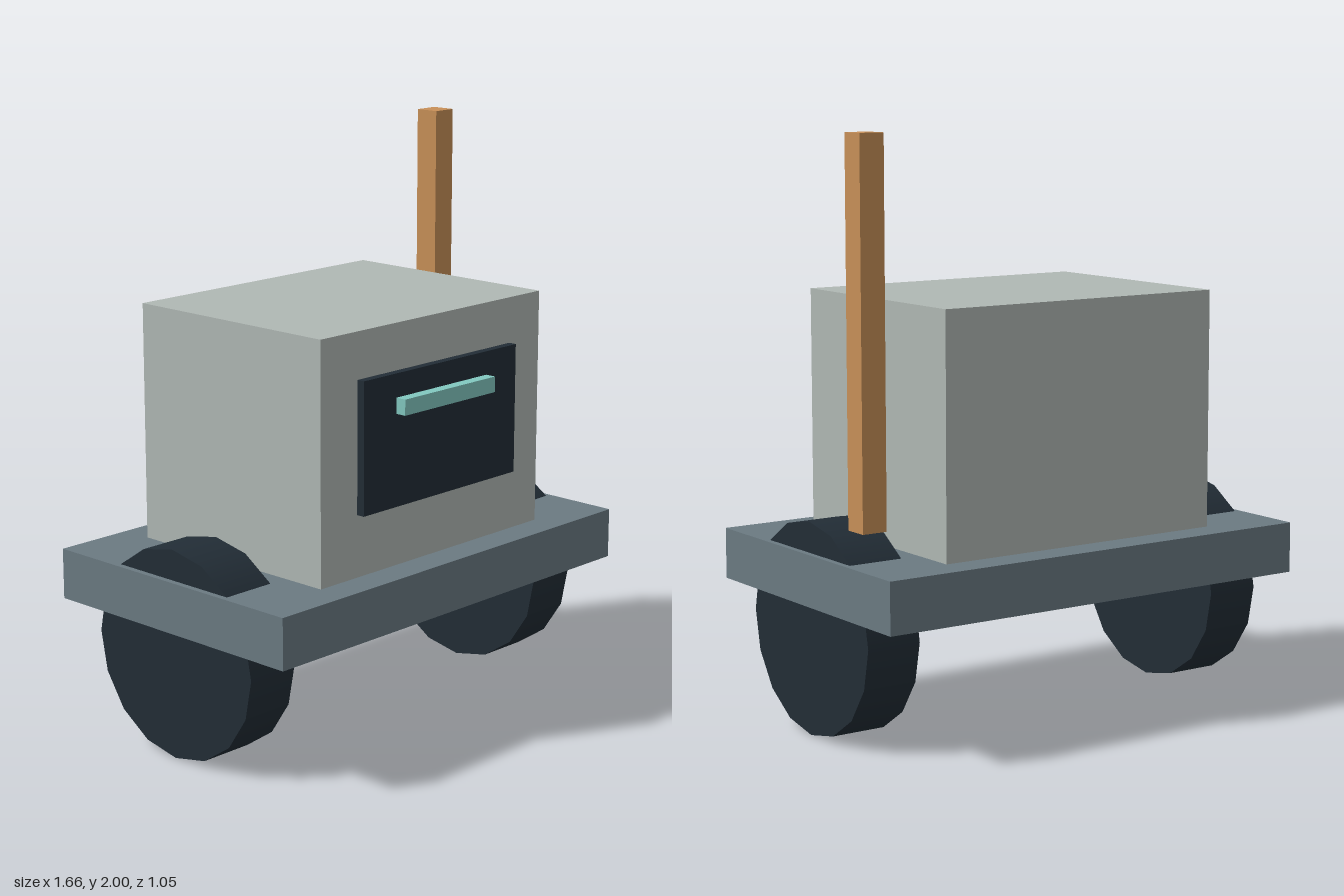
import * as THREE from 'three';

const mat = (name, color) => {
  const m = new THREE.MeshStandardMaterial({ color });
  m.name = name;
  return m;
};

export function createModel() {
  const model = new THREE.Group();
  model.name = 'cart';

  const slate = mat('slate', 0x6b7a82);
  const paleGrey = mat('paleGrey', 0xb0b8b4);
  const darkNavy = mat('darkNavy', 0x222d36);
  const teal = mat('teal', 0x82c8c0);
  const wood = mat('wood', 0xc89058);

  // Box given by its centre x, and its y and z ranges
  const box = (name, material, x, width, [y0, y1], [z0, z1]) => {
    const mesh = new THREE.Mesh(new THREE.BoxGeometry(width, y1 - y0, z1 - z0), material);
    mesh.position.set(x, (y0 + y1) / 2, (z0 + z1) / 2);
    mesh.name = name;
    model.add(mesh);
  };

  box('deck', slate, 0, 1.658, [0.445, 0.621], [-0.527, 0.527]);
  box('body', paleGrey, 0, 1.086, [0.621, 1.445], [-0.416, 0.416]);
  box('frontPanel', darkNavy, 0, 0.758, [0.837, 1.288], [0.422, 0.451]);
  box('handle', teal, 0, 0.45, [1.153, 1.207], [0.451, 0.49]);
  box('post', wood, 0.723, 0.09, [0.72, 2], [-0.272, -0.183]);

  // Sixteen-sided wheels passing up through the deck
  for (const side of [1, -1]) {
    const wheel = new THREE.Mesh(new THREE.CylinderGeometry(0.362, 0.362, 0.196, 16), darkNavy);
    wheel.rotation.z = Math.PI / 2;
    wheel.position.set(side * 0.71, 0.364, 0);
    wheel.name = side > 0 ? 'leftWheel' : 'rightWheel';
    model.add(wheel);
  }

  return model;
}
